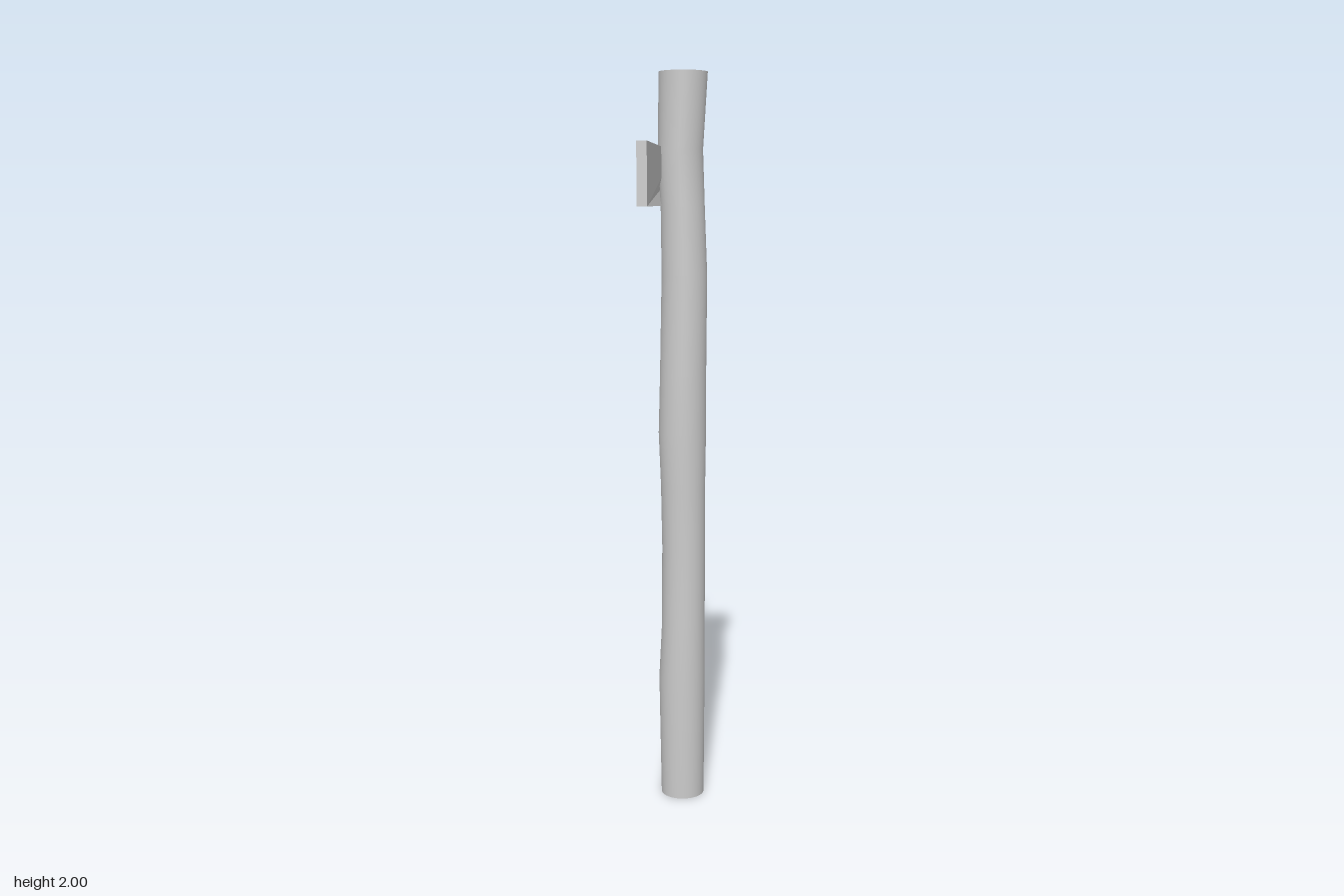
import * as THREE from 'three';

const grey = () => new THREE.MeshStandardMaterial({ color: 0xcccccc });

// Slightly crooked round post: each ring is [height, left edge, right edge]
function makePost() {
  const rings = [
    [0, -0.056, 0.064], [0.34, -0.062, 0.066], [0.5, -0.054, 0.066], [0.72, -0.053, 0.066],
    [0.89, -0.056, 0.066], [1.04, -0.062, 0.068], [1.2, -0.058, 0.068], [1.47, -0.053, 0.07],
    [1.65, -0.055, 0.063], [1.8, -0.062, 0.058], [2, -0.06, 0.07],
  ];
  const n = rings.length - 1;
  const geo = new THREE.CylinderGeometry(1, 1, n, 32, n);
  const pos = geo.attributes.position;
  for (let i = 0; i < pos.count; i++) {
    const [y, left, right] = rings[Math.round(pos.getY(i) + n / 2)];
    const r = (right - left) / 2;
    pos.setXYZ(i, (left + right) / 2 + pos.getX(i) * r, y, 0.041 + pos.getZ(i) * r);
  }
  // Smooth the side, keep the end caps flat
  const caps = geo.attributes.normal.clone();
  geo.computeVertexNormals();
  for (let i = 0; i < pos.count; i++) {
    if (Math.abs(caps.getY(i)) > 0.9) geo.attributes.normal.setXYZ(i, 0, caps.getY(i), 0);
  }
  // Match the normals along the seam
  const nor = geo.attributes.normal;
  for (let j = 0; j <= n; j++) {
    const a = j * 33, b = a + 32;
    const v = new THREE.Vector3().fromBufferAttribute(nor, a)
      .add(new THREE.Vector3().fromBufferAttribute(nor, b)).normalize();
    nor.setXYZ(a, v.x, v.y, v.z);
    nor.setXYZ(b, v.x, v.y, v.z);
  }
  const post = new THREE.Mesh(geo, grey());
  post.name = 'post';
  return post;
}

// Pointed board whose tip thins to a single point on the outer face
function makeBoard() {
  const outline = [[-0.455, 1.653], [0.35, 1.653], [0.455, 1.73], [0.35, 1.807], [-0.455, 1.807]];
  const shape = new THREE.Shape(outline.map(([u, y]) => new THREE.Vector2(u, y)));
  const geo = new THREE.ExtrudeGeometry(shape, { depth: 0.025, bevelEnabled: false });
  const pos = geo.attributes.position;
  for (let i = 0; i < pos.count; i++) if (pos.getX(i) > 0.4) pos.setZ(i, 0);
  geo.rotateY(Math.PI / 2);
  geo.translate(-0.075, 0, 0);
  geo.computeVertexNormals();
  const material = grey();
  material.flatShading = true;
  const board = new THREE.Mesh(geo, material);
  board.name = 'signBoard';
  return board;
}

export function createModel() {
  const group = new THREE.Group();
  group.name = 'signpost';
  group.add(makePost(), makeBoard());
  return group;
}
